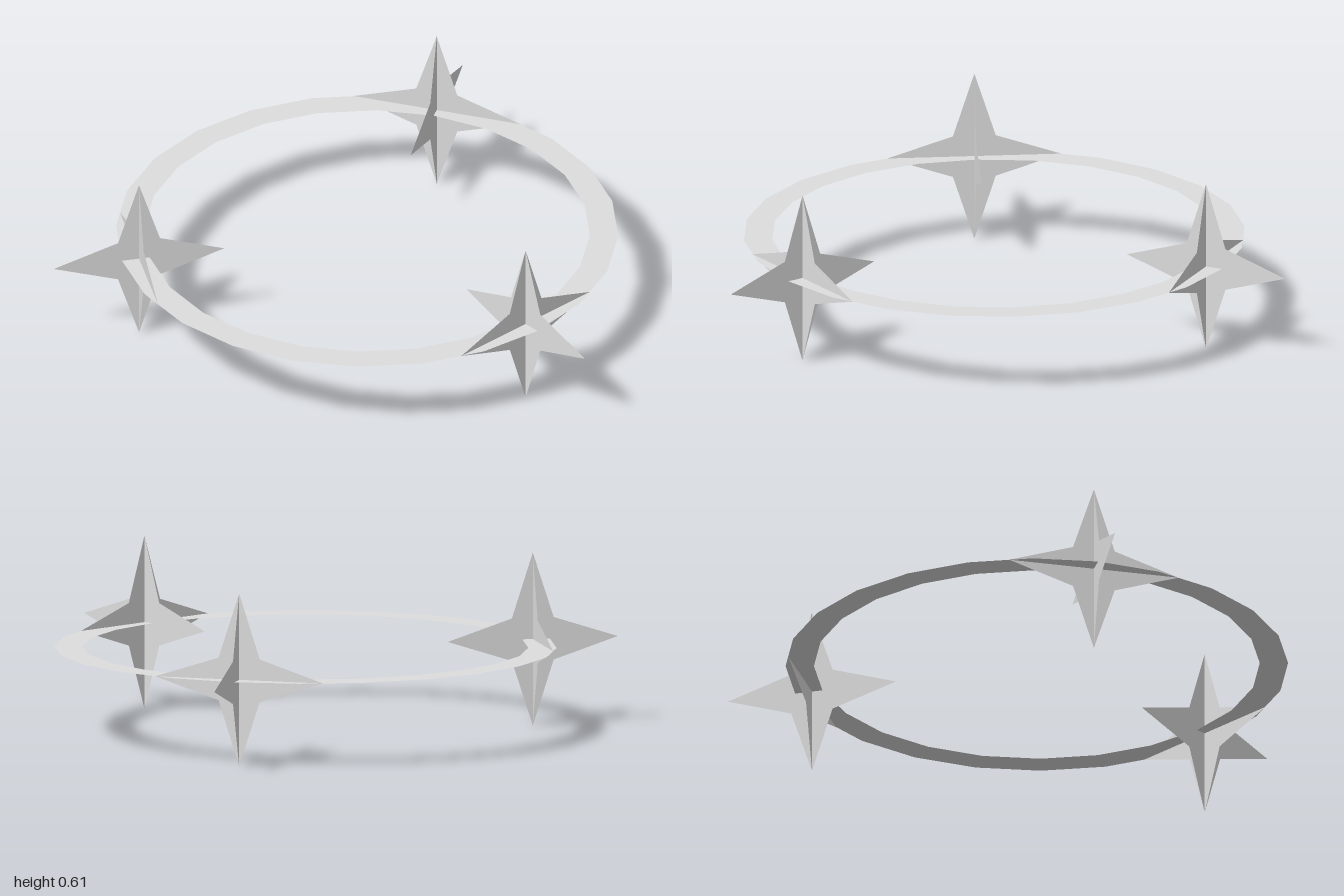
import * as THREE from 'three';

export function createModel() {
  const model = new THREE.Group();
  const silver = new THREE.MeshStandardMaterial({ color: 0xdedede, side: THREE.DoubleSide });
  silver.name = 'paleSilver';

  const starRadius = 0.305, waist = 0.075, orbit = 0.816;

  // Flat band, offset so the whole halo is centred
  const halo = new THREE.Group();
  halo.name = 'halo';
  halo.position.set(0, starRadius, 0.121);
  model.add(halo);

  const band = new THREE.Mesh(new THREE.RingGeometry(0.778, 0.877, 24).rotateX(-Math.PI / 2), silver);
  band.name = 'band';
  halo.add(band);

  // Four-pointed star plate
  const outline = [];
  for (let i = 0; i < 8; i++) {
    const r = i % 2 ? waist * Math.SQRT2 : starRadius;
    const a = (i * Math.PI) / 4;
    outline.push(new THREE.Vector2(r * Math.cos(a), r * Math.sin(a)));
  }
  const plate = new THREE.ShapeGeometry(new THREE.Shape(outline));

  // Three stars, each made of two crossed plates: one along the band, one across it
  ['back', 'left', 'right'].forEach((side, i) => {
    const angle = Math.PI + (i * 2 * Math.PI) / 3 * -1;
    const star = new THREE.Group();
    star.name = side + 'Star';
    star.position.set(orbit * Math.sin(angle), 0, orbit * Math.cos(angle));
    star.rotation.y = angle;
    ['tangentPlate', 'radialPlate'].forEach((name, k) => {
      const mesh = new THREE.Mesh(plate, silver);
      mesh.name = name;
      mesh.rotation.y = (k * Math.PI) / 2;
      star.add(mesh);
    });
    halo.add(star);
  });

  return model;
}
